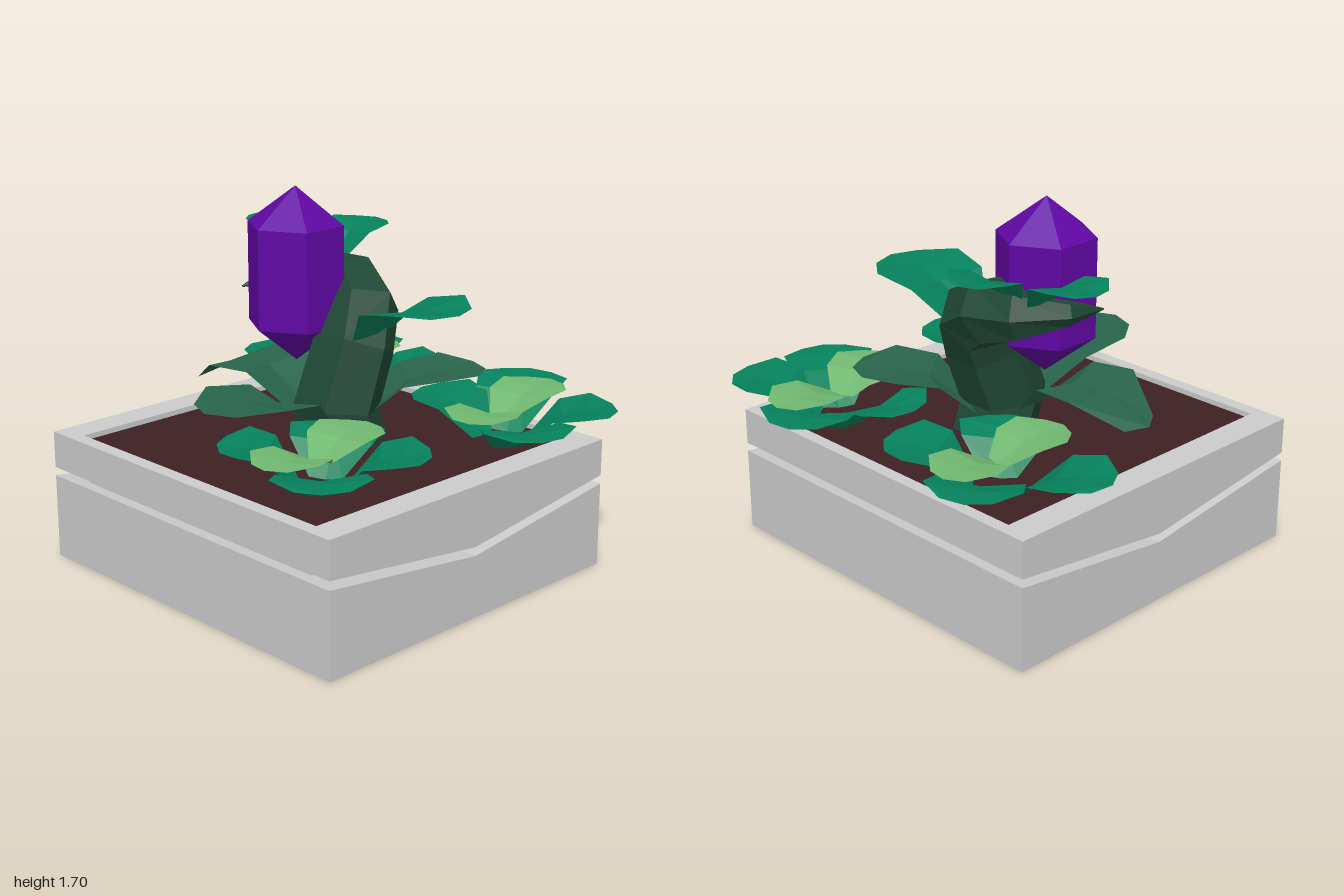
import * as THREE from 'three';

const mat = (color) => new THREE.MeshStandardMaterial({ color, flatShading: true, side: THREE.DoubleSide });
const GREY = mat(0xcccccc), SOIL = mat(0x3e2023), BARK = mat(0x204836), SAGE = mat(0x28654c);
const GREEN = mat(0x06825c), PALE = mat(0x70b870), VIOLET = mat(0x6006a4);

function add(group, name, geometry, material) {
  const mesh = new THREE.Mesh(geometry, material);
  mesh.name = name;
  group.add(mesh);
  return mesh;
}

function box(group, name, material, x0, x1, y0, y1, z0, z1) {
  add(group, name, new THREE.BoxGeometry(x1 - x0, y1 - y0, z1 - z0), material)
    .position.set((x0 + x1) / 2, (y0 + y1) / 2, (z0 + z1) / 2);
}

// Prism from an x-y outline, running from z0 to z1
function prism(group, name, outline, z0, z1) {
  const shape = new THREE.Shape(outline.map(([x, y]) => new THREE.Vector2(x, y)));
  const geometry = new THREE.ExtrudeGeometry(shape, { depth: z1 - z0, bevelEnabled: false });
  add(group, name, geometry.translate(0, 0, z0), GREY);
}

// Flat-shaded surface through rows of points
function loft(rows) {
  const pos = [];
  for (let i = 0; i < rows.length - 1; i++) {
    for (let j = 0; j < rows[i].length - 1; j++) {
      const a = rows[i][j], b = rows[i][j + 1], c = rows[i + 1][j + 1], d = rows[i + 1][j];
      for (const p of [a, b, c, a, c, d]) pos.push(p.x, p.y, p.z);
    }
  }
  const geometry = new THREE.BufferGeometry();
  geometry.setAttribute('position', new THREE.Float32BufferAttribute(pos, 3));
  geometry.computeVertexNormals();
  return geometry;
}

// Broad angular leaf that climbs from its base, then levels out to a blunt tip.
// Rows: spine distance, edge distance, half width, height
const RISING = [[0, 0, 0.35, 0], [0.4, 0.32, 0.88, 0.8], [0.65, 0.66, 1, 0.95], [1, 0.92, 0.52, 1]];
// Same outline, with the tip hanging down again
const DROOPING = [[0, 0, 0.35, 0], [0.4, 0.32, 0.88, 2], [0.65, 0.62, 1, 2], [1, 0.92, 0.45, 1]];
function leaf(group, name, material, base, tip, width, outline = RISING) {
  const from = new THREE.Vector3(...base), to = new THREE.Vector3(...tip);
  const dir = to.clone().sub(from);
  const side = new THREE.Vector3(dir.z, 0, -dir.x).normalize();
  const rows = outline.map(([spine, edge, w, h], i) => [-1, 0, 1].map((s) => {
    const t = s ? edge : spine;
    const p = from.clone().addScaledVector(side, s * w * width / 2);
    p.x += dir.x * t;
    p.z += dir.z * t;
    p.y += dir.y * h + (s && i < 3 ? 0.05 * width * w : 0);
    return p;
  }));
  add(group, name, loft(rows), material);
}

// Ground plant: four green leaves set around the centre, two pale ones above
function clump(name, x, z, greenTips, paleTips) {
  const group = new THREE.Group();
  group.name = name;
  greenTips.forEach(([tx, tz], i) => leaf(group, 'greenLeaf', GREEN,
    [x + (tx - x) * 0.22, 0.58, z + (tz - z) * 0.22], [tx, 0.74 + 0.01 * (i % 3), tz], 0.42));
  paleTips.forEach(([tx, tz]) => leaf(group, 'paleLeaf', PALE, [x, 0.69, z], [tx, 0.77, tz], 0.34));
  return group;
}

function planter() {
  const g = new THREE.Group();
  g.name = 'planter';
  const L = -0.94, R = 0.75, M = -0.09, l = -0.875, r = 0.69;
  prism(g, 'lowerBlock', [[L, 0], [R, 0], [R, 0.39], [M, 0.285], [L, 0.39]], -0.9, 0.9);
  // Upper rim with a shallow V along its lower edge
  const rim = [[L, 0.6], [L, 0.43], [M, 0.325], [R, 0.43], [R, 0.6]];
  prism(g, 'frontRim', rim, 0.76, 0.9);
  prism(g, 'backRim', rim, -0.9, -0.76);
  box(g, 'leftRim', GREY, r, R, 0.43, 0.6, -0.76, 0.76);
  box(g, 'rightRim', GREY, L, l, 0.43, 0.6, -0.76, 0.76);
  box(g, 'core', GREY, l, r, 0.2, 0.54, -0.73, 0.73);
  box(g, 'soil', SOIL, l, r, 0.5, 0.575, -0.76, 0.76);
  return g;
}

// Six-sided stalk that hooks around the crystal
function stalk() {
  const path = [
    [0, 0.57, 0.02, 0.2], [-0.04, 0.73, 0.01, 0.2], [0.06, 1.0, 0.02, 0.19], [0.14, 1.15, -0.02, 0.18],
    [0.19, 1.22, -0.14, 0.155], [0.19, 1.245, -0.31, 0.115], [0.04, 1.25, -0.45, 0.06], [-0.17, 1.22, -0.47, 0.004],
  ];
  const centres = path.map(([x, y, z]) => new THREE.Vector3(x, y, z));
  const u = new THREE.Vector3(1, 0, 0);
  const rows = centres.map((c, i) => {
    const t = i === 0 ? new THREE.Vector3(0, 1, 0)
      : centres[Math.min(i + 1, path.length - 1)].clone().sub(centres[i - 1]).normalize();
    u.addScaledVector(t, -u.dot(t)).normalize();
    const v = t.clone().cross(u);
    return Array.from({ length: 7 }, (_, j) => {
      const a = ((j % 6) + 0.5) * Math.PI / 3, rad = path[i][3];
      return c.clone().addScaledVector(u, rad * Math.cos(a)).addScaledVector(v, rad * Math.sin(a));
    });
  });
  return loft(rows);
}

export function createModel() {
  const model = new THREE.Group();
  model.name = 'pottedCrystalPlant';
  model.add(planter());

  const plant = new THREE.Group();
  plant.name = 'mainPlant';
  model.add(plant);
  add(plant, 'stalk', stalk(), BARK);

  // Crystal held in the hook
  const profile = [[0, 0.9], [0.225, 1.075], [0.225, 1.53], [0, 1.7]].map(([x, y]) => new THREE.Vector2(x, y));
  add(plant, 'crystal', new THREE.LatheGeometry(profile, 6, Math.PI / 2), VIOLET).position.set(-0.055, 0, -0.235);

  // Leaves around the foot of the stalk
  leaf(plant, 'footLeaf', SAGE, [-0.15, 0.66, 0.02], [-0.83, 0.88, 0.04], 0.5);
  leaf(plant, 'footLeaf', SAGE, [-0.08, 0.66, -0.1], [-0.16, 0.76, -0.76], 0.48, DROOPING);
  leaf(plant, 'footLeaf', SAGE, [0.08, 0.66, 0.04], [0.5, 0.88, 0.42], 0.46);

  // Leaves on the stalk
  leaf(plant, 'frontLeaf', GREEN, [0.05, 1.02, 0.1], [0.06, 1.25, 0.65], 0.5);
  leaf(plant, 'upperLeaf', GREEN, [0.16, 1.3, -0.4], [0.23, 1.46, -0.79], 0.33);
  leaf(plant, 'upperLeaf', GREEN, [0.2, 1.3, -0.28], [0.54, 1.46, -0.32], 0.33);

  // Ground plants
  model.add(clump('frontLeftClump', 0.46, 0.55,
    [[0.2, 1.0], [0.75, 0.98], [0.96, 0.3], [0.42, 0.1]], [[0.1, 0.68], [0.87, 0.5]]));
  model.add(clump('backLeftClump', 0.46, -0.46,
    [[0.34, -1.0], [0.9, -0.72], [0.74, -0.06], [0.14, -0.22]], [[0.83, -0.53], [0.1, -0.5]]));
  model.add(clump('frontRightClump', -0.53, 0.42,
    [[-0.88, 0.8], [-0.28, 0.82], [-0.82, 0.1], [-0.18, 0.2]], [[-0.91, 0.5], [-0.18, 0.35]]));
  return model;
}
